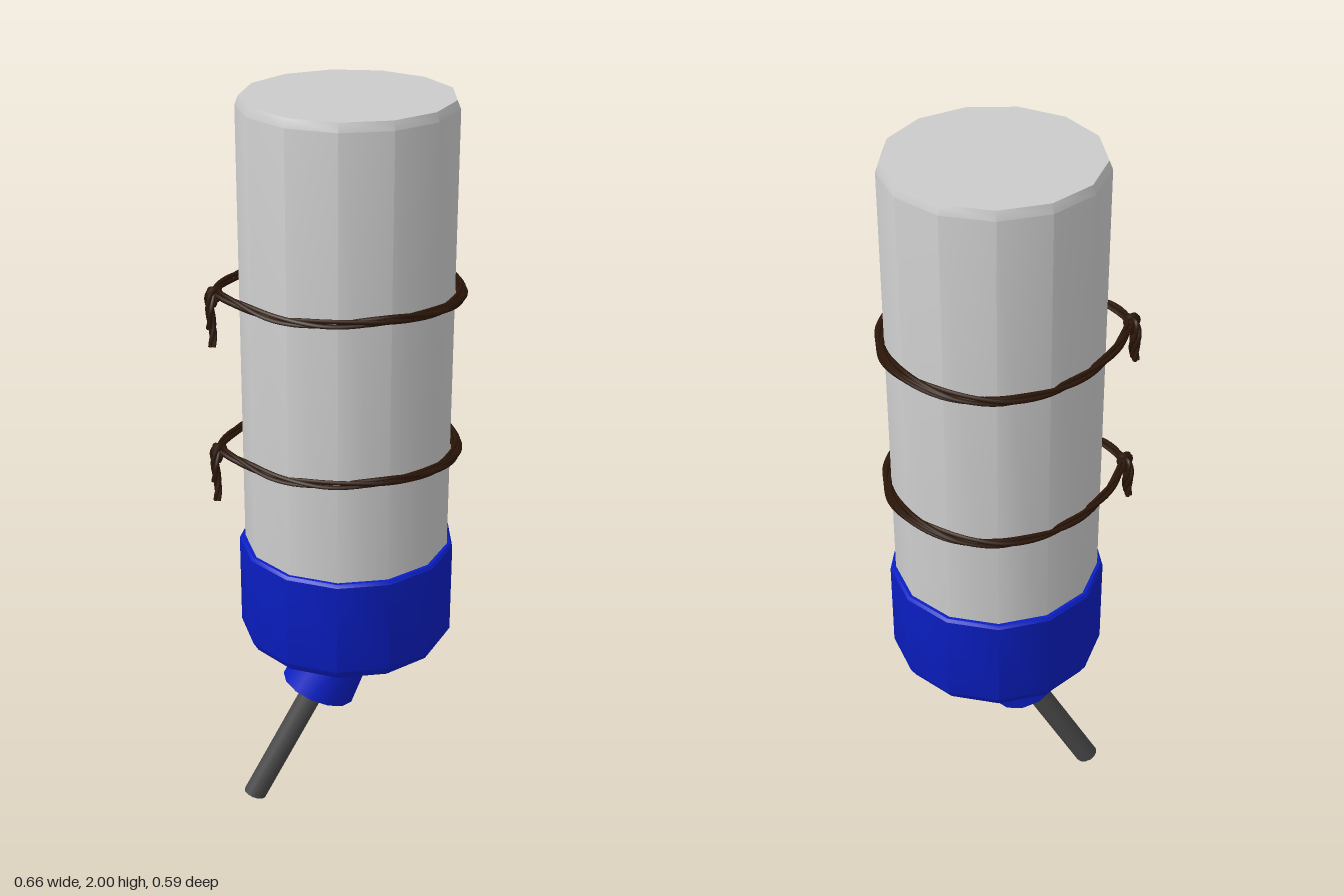
import * as THREE from 'three';
import { toCreasedNormals } from 'three/addons/utils/BufferGeometryUtils.js';

const SIDES = 13;
const AXIS_X = 0.036;
const material = (color) => new THREE.MeshStandardMaterial({ color });

function addMesh(parent, name, geometry, mat) {
  const mesh = new THREE.Mesh(geometry, mat);
  mesh.name = name;
  parent.add(mesh);
  return mesh;
}

// Turned body with a corner pointing to +x
function turned(profile) {
  const points = profile.map(([r, y]) => new THREE.Vector2(r, y));
  const geometry = new THREE.LatheGeometry(points, SIDES, Math.PI / 2);
  geometry.translate(AXIS_X, 0, 0);
  return toCreasedNormals(geometry, 0.6);
}

// Leaning tube between two centres; each end plane drops by `slope` per unit x
function leaning(rx, rz, top, bottom, topSlope, bottomSlope) {
  const geometry = new THREE.CylinderGeometry(1, 1, 1, SIDES);
  const p = geometry.attributes.position;
  for (let i = 0; i < p.count; i++) {
    const t = 0.5 - p.getY(i);
    const dx = p.getX(i) * rx;
    const slope = THREE.MathUtils.lerp(topSlope, bottomSlope, t);
    p.setXYZ(
      i,
      THREE.MathUtils.lerp(top[0], bottom[0], t) + dx,
      THREE.MathUtils.lerp(top[1], bottom[1], t) - slope * dx,
      p.getZ(i) * rz
    );
  }
  return toCreasedNormals(geometry, 0.6);
}

// Three strands wound around a path
function addRope(parent, name, path, closed, mat, turns, spread = 0.007, steps = 80) {
  const rope = new THREE.Group();
  rope.name = name;
  const frames = path.computeFrenetFrames(steps, closed);
  for (let s = 0; s < 3; s++) {
    const points = [];
    for (let i = 0; i < (closed ? steps : steps + 1); i++) {
      const a = (s / 3 + (turns * i) / steps) * Math.PI * 2;
      points.push(
        path.getPointAt(i / steps)
          .addScaledVector(frames.normals[i], Math.cos(a) * spread)
          .addScaledVector(frames.binormals[i], Math.sin(a) * spread)
      );
    }
    const strand = new THREE.CatmullRomCurve3(points, closed);
    addMesh(rope, 'strand', new THREE.TubeGeometry(strand, steps, 0.0058, 6, closed), mat);
  }
  parent.add(rope);
}

const curve = (points, closed = false) =>
  new THREE.CatmullRomCurve3(points.map((p) => new THREE.Vector3(...p)), closed);

// Tie with a teardrop loop, a knot and two hanging ends
function makeTie(mat) {
  const tie = new THREE.Group();
  tie.name = 'tie';

  // half of the loop: x, z, and height on the front and the back
  const half = [
    [-0.27, 0.07, 0.01, 0.008], [-0.2, 0.16, -0.004, 0.0], [-0.1, 0.235, -0.004, -0.006],
    [0, 0.272, 0.004, -0.006], [0.07, 0.28, 0.008, -0.004], [0.17, 0.252, 0.004, 0.002],
    [0.26, 0.175, -0.002, 0.008], [0.305, 0.085, -0.005, 0.006]
  ];
  const loop = [
    [-0.298, 0.012, 0],
    ...half.map(([x, z, y]) => [x, y, z]),
    [0.315, 0, 0],
    ...half.map(([x, z, , y]) => [x, y, -z]).reverse()
  ];
  addRope(tie, 'loop', curve(loop, true), true, mat, 4);

  // second turn lying outside the first on the left
  const outer = half.slice(3).map(([x, z, y]) => [x + 0.01, y - 0.003, z]);
  const outerBack = half.slice(3).map(([x, z, , y]) => [x + 0.01, y - 0.003, -z]).reverse();
  addRope(tie, 'secondTurn', curve([...outer, [0.32, -0.003, 0], ...outerBack]), false, mat, 2, 0.004, 40);

  // knot
  [-0.5, 0.6].forEach((turn, i) => {
    const wrap = addMesh(tie, 'knot', new THREE.TorusGeometry(0.014, 0.009, 6, 12), mat);
    wrap.position.set(-0.305, 0.008 - i * 0.012, 0);
    wrap.rotation.set(0.5 + turn, turn + 0.6, 0);
  });

  // hanging ends
  const ends = [
    [[-0.3, 0.008, 0], [-0.31, 0.012, -0.02], [-0.314, -0.02, -0.03], [-0.312, -0.06, -0.024], [-0.313, -0.09, -0.026]],
    [[-0.3, 0.008, 0], [-0.313, 0.014, 0.012], [-0.32, -0.02, 0.024], [-0.316, -0.07, 0.026], [-0.32, -0.115, 0.034]]
  ];
  ends.forEach((points) => addRope(tie, 'ropeEnd', curve(points), false, mat, 1, 0.005, 20));
  return tie;
}

export function createModel() {
  const model = new THREE.Group();
  model.name = 'hangingWaterBottle';
  const grey = material(0xcccccc);
  const blue = material(0x0a1ec4);
  const steel = material(0x4a4a4a);
  const brown = material(0x2b1608);

  // Bottle with a bevelled end
  addMesh(model, 'bottle', turned([[0, 0.6], [0.272, 0.6], [0.272, 1.978], [0.263, 2], [0, 2]]), grey);

  // Screw cap with bevelled rims
  addMesh(model, 'cap', turned([
    [0, 0.53], [0.272, 0.53], [0.287, 0.555], [0.287, 0.807], [0.281, 0.815], [0, 0.815]
  ]), blue);

  // Spout and drinking tube
  addMesh(model, 'spout', leaning(0.096, 0.105, [0.045, 0.535], [-0.045, 0.343], 0, 0.39), blue);
  addMesh(model, 'drinkingTube', leaning(0.03, 0.031, [-0.04, 0.365], [-0.233, 0.013], 0.39, 0.39), steel);

  // Two ties around the bottle
  for (const y of [1.095, 1.52]) {
    const tie = makeTie(brown);
    tie.position.y = y;
    model.add(tie);
  }
  return model;
}
